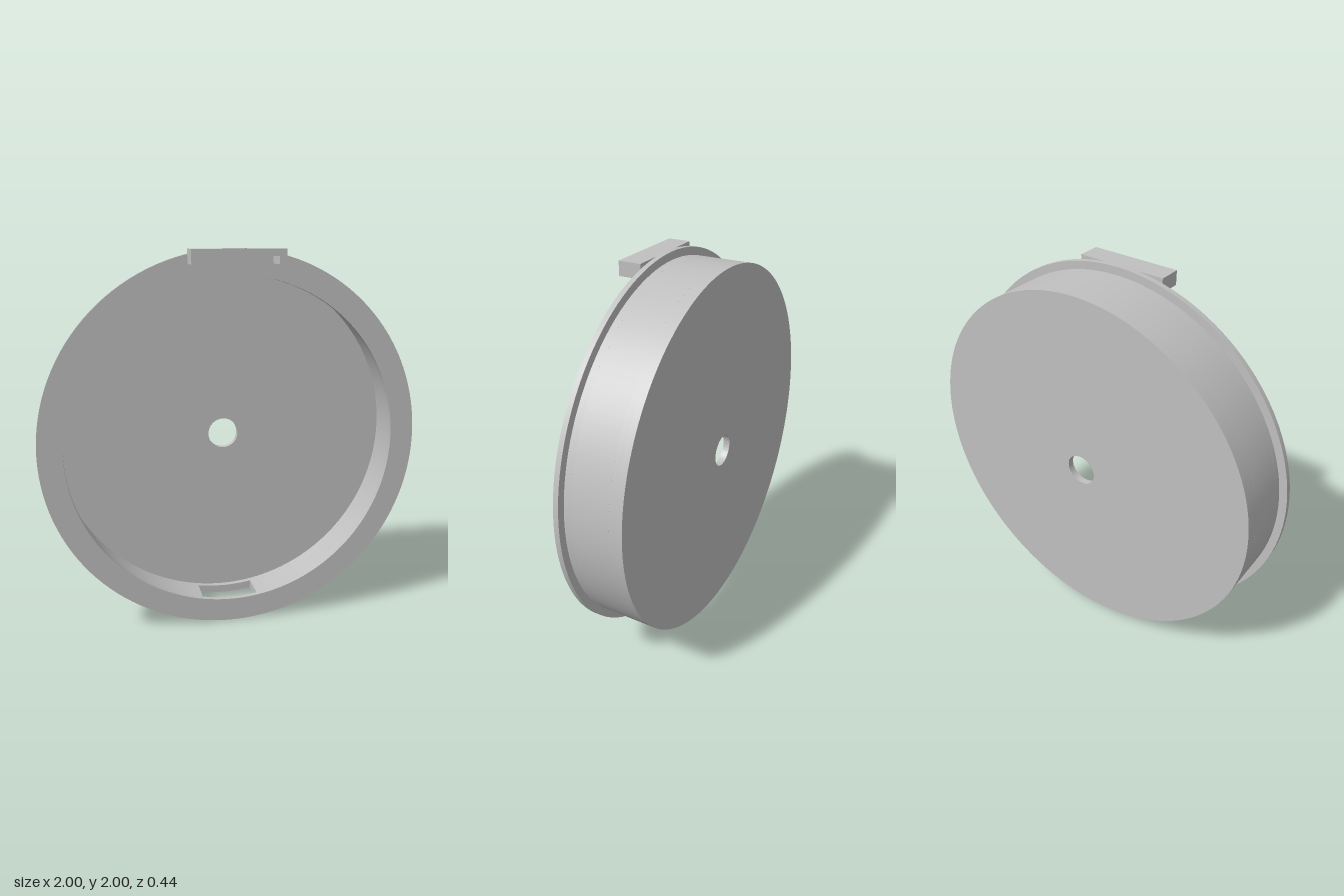
import * as THREE from 'three';
import { toCreasedNormals } from 'three/addons/utils/BufferGeometryUtils.js';

const SEGMENTS = 64;

// Extrude a shape between two z positions, smooth round the curve and sharp at the rims
function slab(shape, zBack, zFront) {
  const geometry = new THREE.ExtrudeGeometry(shape, {
    depth: zFront - zBack, bevelEnabled: false, curveSegments: SEGMENTS,
  });
  geometry.translate(0, 0, zBack);
  return toCreasedNormals(geometry, 0.5);
}

function ring(outer, inner) {
  const shape = new THREE.Shape().absarc(0, 0, outer, 0, Math.PI * 2, false);
  shape.holes.push(new THREE.Path().absarc(0, 0, inner, 0, Math.PI * 2, true));
  return shape;
}

// Ring with a straight-sided gap at the bottom
function openRing(outer, inner, halfGap) {
  const a = Math.asin(halfGap / outer), b = Math.asin(halfGap / inner);
  const down = -Math.PI / 2, full = Math.PI * 2;
  const shape = new THREE.Shape();
  shape.absarc(0, 0, outer, down + a, down + full - a, false);
  shape.absarc(0, 0, inner, down + full - b, down + b, true);
  shape.closePath();
  return shape;
}

export function createModel() {
  const grey = new THREE.MeshStandardMaterial({ color: 0xc0c0c0 });
  grey.name = 'grey';
  const model = new THREE.Group();
  model.name = 'roundCover';

  const add = (name, geometry) => {
    const mesh = new THREE.Mesh(geometry, grey);
    mesh.name = name;
    mesh.position.y = 1;
    model.add(mesh);
  };

  const R = 0.96, INNER = 0.917;
  const BACK = -0.22, FLOOR = -0.185, SLOT_BACK = -0.155, SLOT_FRONT = 0.04, LIP = 0.077, FRONT = 0.104;

  // Back disc with centre hole
  add('backDisc', slab(ring(R, 0.083), BACK, FLOOR));

  // Side wall in three bands, the middle one leaving the bottom slot
  add('wallBack', slab(ring(R, INNER), FLOOR, SLOT_BACK));
  add('wallSlotted', slab(openRing(R, INNER, 0.155), SLOT_BACK, SLOT_FRONT));
  add('wallFront', slab(ring(R, INNER), SLOT_FRONT, LIP));

  // Front flange, reaching inwards and outwards past the wall
  add('flange', slab(ring(1, 0.873), LIP, FRONT));

  // Top catch: a bar with a short leg at each end
  const catchShape = new THREE.Shape([
    [-0.233, 0.996], [-0.233, 0.925], [-0.196, 0.925], [-0.196, 0.962],
    [0.196, 0.962], [0.196, 0.925], [0.233, 0.925], [0.233, 0.996],
  ].map(([x, y]) => new THREE.Vector2(x, y)));
  add('topCatch', slab(catchShape, FRONT, 0.22));

  return model;
}
